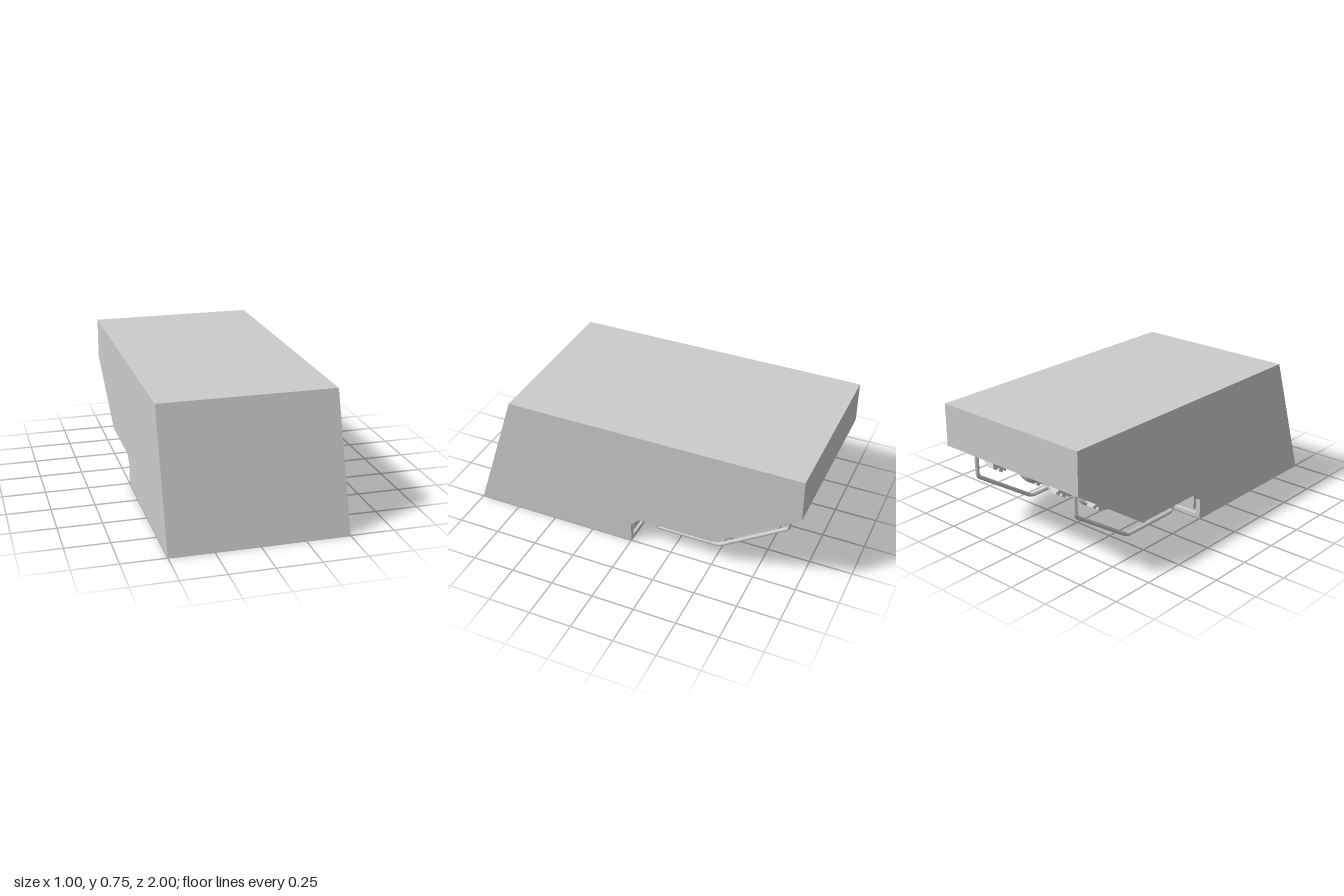
import * as THREE from 'three';

const material = new THREE.MeshStandardMaterial({ color: 0xcccccc });

// Hull shell, written for the +x half; every face is mirrored to -x.
function hullGeometry() {
  const pos = [];
  const tri = (a, b, c) => {
    pos.push(...a, ...b, ...c);
    for (const p of [c, b, a]) pos.push(-p[0], p[1], p[2]);
  };
  const quad = (a, b, c, d) => { tri(a, b, c); tri(a, c, d); };

  // Side wall: fan over the side profile, given as [z, y]
  const profile = [[0.75, 0.75], [1, 0], [0, 0], [0, 0.12], [-0.05, 0.17], [-0.5, 0.17], [-1, 0.5], [-1, 0.75]]
    .map(([z, y]) => [0.5, y, z]);
  for (let i = 1; i < profile.length - 1; i++) tri(profile[0], profile[i], profile[i + 1]);

  // Front, top, back and floor
  quad([0, 0, 1], [0.5, 0, 1], [0.5, 0.75, 0.75], [0, 0.75, 0.75]);
  quad([0, 0.75, 0.75], [0.5, 0.75, 0.75], [0.5, 0.75, -1], [0, 0.75, -1]);
  quad([0.5, 0.5, -1], [0, 0.5, -1], [0, 0.75, -1], [0.5, 0.75, -1]);
  quad([0.5, 0, 1], [0, 0, 1], [0, 0, 0], [0.5, 0, 0]);

  // Middle step and the V-shaped hollow between the rails
  quad([0.25, 0, 0], [0, 0, 0], [0, 0.12, 0], [0.25, 0.12, 0]);
  quad([0.25, 0.12, 0], [0, 0.12, 0], [0, 0.17, -0.05], [0.25, 0.17, -0.05]);
  const rimFront = [0.25, 0.17, -0.05], rimMid = [0.25, 0.17, -0.5], rimBack = [0.25, 0.5, -1];
  const start = [0, 0.17, -0.05], ridgeFront = [0, 0.37, -0.25], ridgeBack = [0, 0.5, -0.75];
  tri(rimFront, start, rimMid);
  tri(rimMid, start, ridgeFront);
  tri(rimMid, ridgeFront, rimBack);
  tri(rimBack, ridgeFront, ridgeBack);
  tri(rimBack, ridgeBack, [0, 0.5, -1]);

  // Rail underside: a groove around a panel, swept along the belly.
  // Columns: x, depth in the groove zone, depth in the panel zone
  const columns = [
    [0.5, 0, 0], [0.47, 0, 0], [0.47, 0.03, 0.03], [0.45, 0.03, 0.03], [0.45, 0.03, 0.006],
    [0.3, 0.03, 0.006], [0.3, 0.03, 0.03], [0.28, 0.03, 0.03], [0.28, 0, 0], [0.25, 0, 0],
  ];
  // Stations: z, y, inward z, inward y, zone (0 flat, 1 groove, 2 panel)
  const stations = [
    [0, 0, 1, 0, 0], [0, 0.02, 1, 0, 0], [0, 0.02, 1, 0, 1], [0, 0.04, 1, 0, 1], [0, 0.04, 1, 0, 2],
    [0, 0.12, 1, 0.41, 2], [-0.05, 0.17, 0.41, 1, 2], [-0.5, 0.17, 0.3, 1, 2],
    [-0.945, 0.464, 0.55, 0.83, 2], [-0.945, 0.464, 0.55, 0.83, 1], [-0.965, 0.477, 0.55, 0.83, 1],
    [-0.965, 0.477, 0.55, 0.83, 0], [-1, 0.5, 0.55, 0.83, 0],
  ];
  const rows = stations.map(([z, y, nz, ny, zone]) => columns.map((c) => {
    const depth = zone ? c[zone] : 0;
    return [c[0], y + ny * depth, z + nz * depth];
  }));
  for (let i = 0; i < rows.length - 1; i++)
    for (let j = 0; j < columns.length - 1; j++)
      quad(rows[i][j], rows[i][j + 1], rows[i + 1][j + 1], rows[i + 1][j]);

  const geometry = new THREE.BufferGeometry();
  geometry.setAttribute('position', new THREE.Float32BufferAttribute(pos, 3));
  geometry.computeVertexNormals();
  return geometry;
}

// Bent pipe with small rounded elbows
function skidGeometry(points, radius, bend) {
  const path = new THREE.CurvePath();
  let from = points[0];
  for (let i = 1; i < points.length - 1; i++) {
    const p = points[i];
    const before = p.clone().add(points[i - 1].clone().sub(p).setLength(bend));
    const after = p.clone().add(points[i + 1].clone().sub(p).setLength(bend));
    path.add(new THREE.LineCurve3(from, before));
    path.add(new THREE.QuadraticBezierCurve3(before, p, after));
    from = after;
  }
  path.add(new THREE.LineCurve3(from, points[points.length - 1]));
  return new THREE.TubeGeometry(path, 90, radius, 8, false);
}

export function createModel() {
  const model = new THREE.Group();
  const add = (parent, name, geometry, x = 0, y = 0, z = 0) => {
    const mesh = new THREE.Mesh(geometry, material);
    mesh.name = name;
    mesh.position.set(x, y, z);
    parent.add(mesh);
    return mesh;
  };

  add(model, 'hull', hullGeometry());

  // Pipe skids under both rails
  const skid = skidGeometry(
    [[0.19, -0.11], [0.052, -0.11], [0.052, -0.5], [0.315, -0.9], [0.45, -0.9]]
      .map(([y, z]) => new THREE.Vector3(0, y, z)), 0.012, 0.02);
  for (const side of [1, -1]) add(model, side > 0 ? 'leftSkid' : 'rightSkid', skid, side * 0.38);

  // Hinges on the inner edge of each rail, lying along the slope
  const slope = Math.atan2(0.33, 0.5);
  for (const side of [1, -1]) {
    for (const z of [-0.6, -0.875]) {
      const hinge = new THREE.Group();
      hinge.name = 'hinge';
      hinge.position.set(side * 0.25, 0.17 + (-0.5 - z) * 0.66, z);
      hinge.rotation.x = slope;
      add(hinge, 'hingePlate', new THREE.BoxGeometry(0.07, 0.02, 0.11), 0, -0.004, 0);
      for (const end of [1, -1])
        add(hinge, 'hingeLug', new THREE.BoxGeometry(0.045, 0.02, 0.03), -side * 0.008, -0.018, end * 0.025);
      model.add(hinge);
    }
  }

  // Crosswise spindles in the hollow: a shaft with a bullet-shaped cap at each end
  const half = [[0.045, 0.07], [0.062, 0.075], [0.066, 0.095], [0.062, 0.13], [0.048, 0.17], [0.026, 0.2], [0, 0.215]];
  const outline = [...half.map(([r, h]) => [r, -h]).reverse(), ...half].map(([r, h]) => new THREE.Vector2(r, h));
  const spindleGeometry = new THREE.LatheGeometry(outline, 20);
  for (const [y, z] of [[0.376, -0.74], [0.215, -0.51]])
    add(model, 'spindle', spindleGeometry, 0, y, z).rotation.z = Math.PI / 2;

  return model;
}
